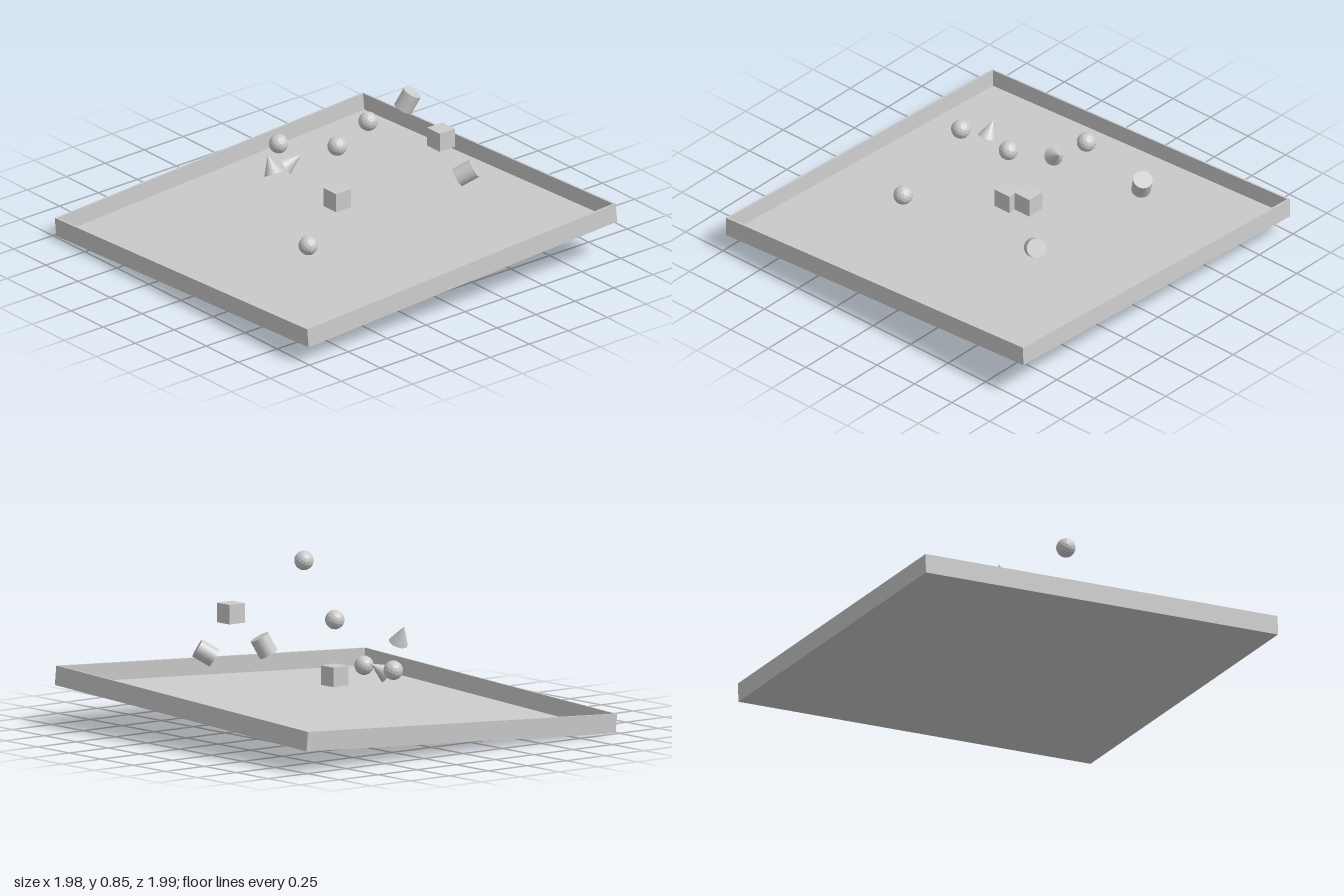
import * as THREE from 'three';

const UP = new THREE.Vector3(0, 1, 0);

export function createModel() {
  const model = new THREE.Group();
  const smooth = new THREE.MeshStandardMaterial({ color: 0xcccccc });
  const faceted = new THREE.MeshStandardMaterial({ color: 0xcccccc, flatShading: true });

  const add = (parent, name, geometry, position, material = smooth) => {
    const mesh = new THREE.Mesh(geometry, material);
    mesh.name = name;
    mesh.position.set(...position);
    parent.add(mesh);
    return mesh;
  };

  // Shallow tilted tray: thin floor and four thin walls
  const width = 1.975, depth = 1.985, height = 0.098, wall = 0.01;
  const tray = new THREE.Group();
  tray.name = 'tray';
  tray.position.y = 0.1;
  tray.rotation.set(0.055, 0, 0.0455);
  model.add(tray);
  add(tray, 'trayFloor', new THREE.BoxGeometry(width, wall, depth), [0, wall / 2, 0]);
  const wallHeight = height - wall, wallY = wall + wallHeight / 2;
  for (const s of [-1, 1]) {
    add(tray, s > 0 ? 'leftWall' : 'rightWall',
      new THREE.BoxGeometry(wall, wallHeight, depth), [s * (width - wall) / 2, wallY, 0]);
    add(tray, s > 0 ? 'frontWall' : 'backWall',
      new THREE.BoxGeometry(width - 2 * wall, wallHeight, wall), [0, wallY, s * (depth - wall) / 2]);
  }

  // Faceted balls
  const ball = new THREE.IcosahedronGeometry(0.049, 2);
  [[0.3, 0.805, 0.045], [0, 0.55, -0.003], [-0.52, 0.365, -0.055], [0.3, 0.24, 0.43]]
    .forEach((p) => add(model, 'ball', ball, p, faceted));

  // Upright cubes
  const cube = new THREE.BoxGeometry(0.098, 0.098, 0.098);
  [[0.31, 0.588, -0.415], [0, 0.27, -0.003]].forEach((p) => add(model, 'cube', cube, p));

  // Tumbling cylinders and cones: centre and axis direction
  const cylinder = new THREE.CylinderGeometry(0.049, 0.049, 0.098, 24);
  const cone = new THREE.ConeGeometry(0.049, 0.098, 24);
  [
    ['cylinder', cylinder, [-0.253, 0.517, -0.665], [0.28, 0.88, -0.38]],
    ['cylinder', cylinder, [0.378, 0.388, -0.52], [0.53, 0.5, -0.66]],
    ['cone', cone, [-0.178, 0.468, 0.277], [-0.46, 0.88, 0]],
    ['cone', cone, [-0.35, 0.347, -0.008], [0.4, 0.55, -0.73]],
  ].forEach(([name, geometry, position, axis]) => {
    add(model, name, geometry, position)
      .quaternion.setFromUnitVectors(UP, new THREE.Vector3(...axis).normalize());
  });

  return model;
}
